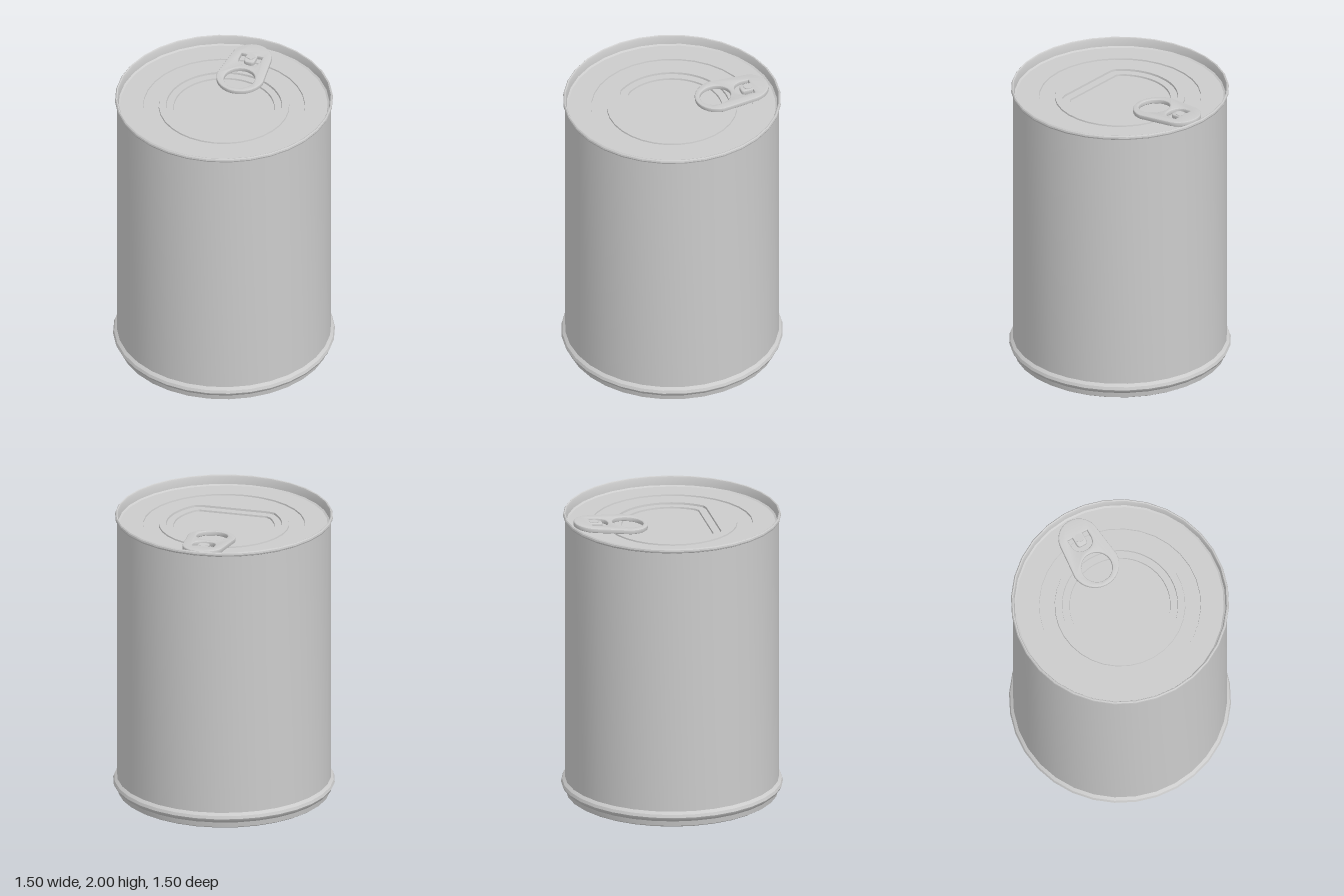
import * as THREE from 'three';
import { toCreasedNormals } from 'three/addons/utils/BufferGeometryUtils.js';

const SEGMENTS = 32;
const LID_Y = 1.93;
const RING_Y = 1.92;

function makeMesh(name, geometry) {
  const material = new THREE.MeshStandardMaterial({ color: 0xcccccc, side: THREE.DoubleSide });
  const mesh = new THREE.Mesh(toCreasedNormals(geometry, 0.5), material);
  mesh.name = name;
  return mesh;
}

function lathe(name, points) {
  return makeMesh(name, new THREE.LatheGeometry(points.map(([r, y]) => new THREE.Vector2(r, y)), SEGMENTS));
}

// Skin between closed rings, each a circle cut straight at z = flat, ending in a centre point
function panelGeometry(rings, count) {
  const positions = [], indices = [];
  for (const { radius, flat, y } of rings) {
    for (let i = 0; i < count; i++) {
      const a = (i / count) * Math.PI * 2;
      const s = Math.sin(a);
      const r = s > 0 ? Math.min(radius, flat / s) : radius;
      positions.push(r * Math.cos(a), y, r * s);
    }
  }
  for (let k = 0; k < rings.length - 1; k++) {
    for (let i = 0; i < count; i++) {
      const a = k * count + i, b = k * count + (i + 1) % count;
      indices.push(a, b, a + count, b, b + count, a + count);
    }
  }
  const centre = positions.length / 3, last = centre - count;
  positions.push(0, rings[rings.length - 1].y, 0);
  for (let i = 0; i < count; i++) indices.push(last + i, last + (i + 1) % count, centre);
  // Rings run clockwise seen from above, so turn each face to look up
  for (let i = 0; i < indices.length; i += 3) {
    [indices[i + 1], indices[i + 2]] = [indices[i + 2], indices[i + 1]];
  }
  const geometry = new THREE.BufferGeometry();
  geometry.setAttribute('position', new THREE.Float32BufferAttribute(positions, 3));
  geometry.setIndex(indices);
  return geometry;
}

// Pull tab outline, drawn with shape y pointing to the back of the can
function tabGeometry() {
  const shape = new THREE.Shape();
  shape.absarc(0, 0.54, 0.14, 0.09, Math.PI - 0.09, false);
  shape.absarc(0, 0.335, 0.165, Math.PI + 0.09, Math.PI * 2 - 0.09, false);
  shape.closePath();

  const fingerHole = new THREE.Path();
  fingerHole.absarc(0, 0.308, 0.105, 0, Math.PI * 2, true);

  // U-shaped slot that leaves a tongue for the rivet
  const slot = new THREE.Path();
  slot.moveTo(-0.076, 0.565);
  slot.lineTo(-0.038, 0.565);
  slot.lineTo(-0.038, 0.51);
  slot.quadraticCurveTo(-0.036, 0.485, -0.012, 0.485);
  slot.lineTo(0.012, 0.485);
  slot.quadraticCurveTo(0.036, 0.485, 0.038, 0.51);
  slot.lineTo(0.038, 0.565);
  slot.lineTo(0.076, 0.565);
  slot.lineTo(0.076, 0.515);
  slot.quadraticCurveTo(0.07, 0.448, 0, 0.448);
  slot.quadraticCurveTo(-0.07, 0.448, -0.076, 0.515);
  slot.closePath();
  shape.holes.push(fingerHole, slot);

  const geometry = new THREE.ExtrudeGeometry(shape, {
    depth: 0.016, bevelEnabled: true, bevelThickness: 0.009, bevelSize: 0.009,
    bevelOffset: -0.009, bevelSegments: 3, curveSegments: 20,
  });
  return geometry.rotateX(-Math.PI / 2);
}

export function createModel() {
  const can = new THREE.Group();
  can.name = 'tinCan';

  // Stepped base, flared bottom bead, straight wall and rolled top rim
  can.add(lathe('canBody', [
    [0, 0.008], [0.52, 0.008], [0.57, 0.012], [0.6, 0.022], [0.645, 0.022], [0.66, 0.004],
    [0.67, 0], [0.7, 0], [0.716, 0.01], [0.722, 0.045], [0.742, 0.062], [0.749, 0.078],
    [0.742, 0.098], [0.723, 0.115], [0.723, 1.967], [0.732, 1.972], [0.736, 1.982],
    [0.734, 1.993], [0.728, 2], [0.721, 1.997], [0.716, 1.985], [0.712, LID_Y + 0.008],
    [0.7, LID_Y],
  ]));

  // Lid with a shallow stepped ring
  can.add(lathe('lidRing', [
    [0.7, LID_Y], [0.546, LID_Y], [0.544, RING_Y],
    [0.441, RING_Y], [0.439, LID_Y], [0.42, LID_Y],
  ]));

  // Sunken centre panel with one straight edge at the front
  can.add(makeMesh('lidPanel', panelGeometry([
    { radius: 0.43, flat: 9, y: LID_Y },
    { radius: 0.391, flat: 0.289, y: LID_Y },
    { radius: 0.389, flat: 0.287, y: LID_Y - 0.014 },
    { radius: 0.341, flat: 0.236, y: LID_Y - 0.014 },
    { radius: 0.339, flat: 0.234, y: LID_Y - 0.026 },
  ], 64)));

  // Pull tab, dipping towards the centre of the lid
  const pullTab = makeMesh('pullTab', tabGeometry());
  pullTab.position.y = 1.906;
  pullTab.rotation.x = 0.08;
  can.add(pullTab);

  // Flat rivet holding the tab
  const rivet = lathe('rivet', [[0.03, LID_Y - 0.012], [0.03, 1.978], [0, 1.978]]);
  rivet.position.z = -0.538;
  can.add(rivet);

  return can;
}
